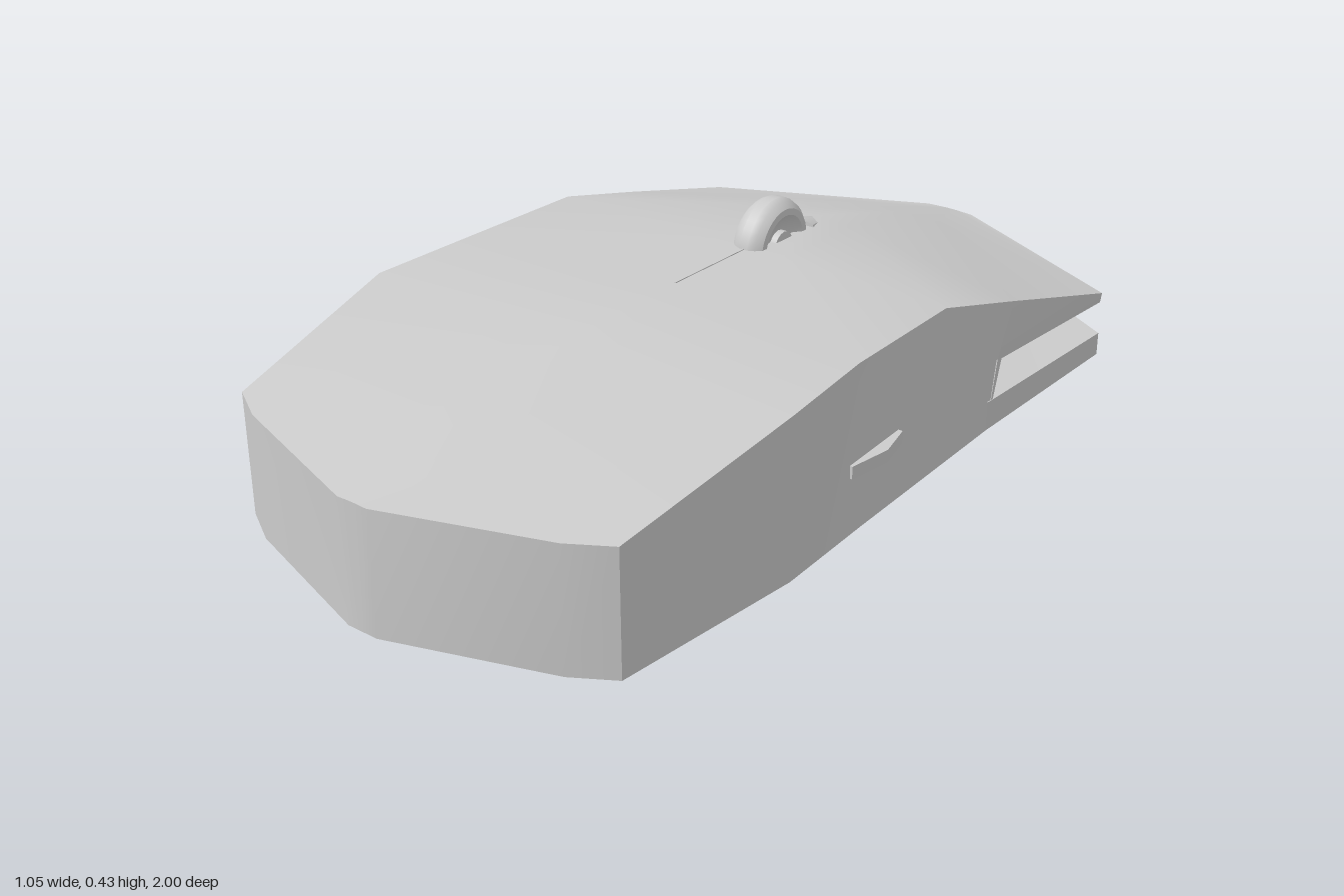
import * as THREE from 'three';
import { toCreasedNormals } from 'three/addons/utils/BufferGeometryUtils.js';

const material = new THREE.MeshStandardMaterial({ color: 0xcccccc, side: THREE.DoubleSide });

function addMesh(parent, geometry, name) {
  const mesh = new THREE.Mesh(geometry, material);
  mesh.name = name;
  parent.add(mesh);
  return mesh;
}

// Half cross-section, from bottom centre out to the side and back to top centre.
// The lower points may sit at other z values, to shape the V-shaped gap.
function section(z, half, edgeY, midY, centreY, lowHalf, lowEdgeY, lowCentreY, lowEdgeZ = z, lowCentreZ = z) {
  return [
    [0, lowCentreY, lowCentreZ],
    [lowHalf, lowEdgeY, lowEdgeZ],
    [half, edgeY, z],
    [half * 0.2, midY, z],
    [0, centreY, z],
  ];
}

// Skins sections (z ascending), mirrors them across x = 0 and caps the chosen ends.
function loft(rings, capBack, capFront) {
  const positions = [];
  const tri = (a, b, c) => {
    positions.push(...a, ...b, ...c);
    for (const p of [a, c, b]) positions.push(-p[0], p[1], p[2]);
  };
  for (let i = 0; i < rings.length - 1; i++) {
    for (let j = 0; j < 4; j++) {
      const a = rings[i][j], b = rings[i][j + 1];
      const c = rings[i + 1][j + 1], d = rings[i + 1][j];
      tri(a, b, d);
      tri(b, c, d);
    }
  }
  const first = rings[0], last = rings[rings.length - 1];
  for (let j = 1; j < 4; j++) {
    if (capBack) tri(first[0], first[j + 1], first[j]);
    if (capFront) tri(last[0], last[j], last[j + 1]);
  }
  const geometry = new THREE.BufferGeometry();
  geometry.setAttribute('position', new THREE.Float32BufferAttribute(positions, 3));
  return toCreasedNormals(geometry, 0.38);
}

export function createModel() {
  const model = new THREE.Group();
  model.name = 'computerMouse';

  // Upper shell: thin button deck at the back, full-height body in front
  addMesh(model, loft([
    section(-0.99, 0.06, 0.155, 0.157, 0.157, 0.06, 0.132, 0.132),
    section(-0.76, 0.525, 0.16, 0.224, 0.226, 0.522, 0.137, 0.14),
    section(-0.39, 0.502, 0.272, 0.338, 0.337, 0.505, 0.16, 0.148, -0.33, -0.55),
    section(-0.14, 0.485, 0.345, 0.349, 0.346, 0.505, 0.01, 0.005, -0.3, -0.55),
    section(0.18, 0.49, 0.355, 0.357, 0.357, 0.505, 0.01, 0),
    section(0.42, 0.508, 0.354, 0.356, 0.356, 0.508, 0.01, 0.003),
    section(0.84, 0.455, 0.275, 0.296, 0.298, 0.455, 0.01, 0.007),
    section(0.89, 0.37, 0.275, 0.288, 0.29, 0.37, 0.01, 0.008),
    section(1, 0.035, 0.273, 0.274, 0.274, 0.035, 0.01, 0.01),
  ], true, true), 'upperShell');

  // Base plate below the gap
  addMesh(model, loft([
    section(-1, 0.06, 0.08, 0.08, 0.08, 0.06, 0.01, 0.01),
    section(-0.76, 0.525, 0.062, 0.088, 0.09, 0.525, 0.01, 0.008),
    [[0, 0.005, -0.55], [0.505, 0.01, -0.3], [0.505, 0.075, -0.3], [0.1, 0.092, -0.5], [0, 0.096, -0.55]],
  ], true, false), 'basePlate');

  // Scroll wheel with rounded tread and recessed hub
  const wheel = new THREE.Group();
  wheel.name = 'scrollWheel';
  wheel.position.set(0, 0.33, -0.23);
  wheel.rotation.z = Math.PI / 2;
  model.add(wheel);
  const halfProfile = [[0.03, 0.02], [0.05, 0.024], [0.068, 0.038], [0.082, 0.037], [0.094, 0.025], [0.1, 0.01]];
  const profile = [
    ...halfProfile.map(([r, h]) => new THREE.Vector2(r, -h)),
    ...halfProfile.reverse().map(([r, h]) => new THREE.Vector2(r, h)),
  ];
  addMesh(wheel, toCreasedNormals(new THREE.LatheGeometry(profile, 32).toNonIndexed(), 0.6), 'wheelTread');
  addMesh(wheel, new THREE.CylinderGeometry(0.032, 0.032, 0.07, 16), 'wheelHub');

  // Tapered wheel housing behind the wheel
  addMesh(model, loft([
    section(-0.46, 0.002, 0.315, 0.316, 0.316, 0.002, 0.3, 0.3),
    section(-0.33, 0.042, 0.346, 0.352, 0.354, 0.045, 0.3, 0.3),
  ], true, true), 'wheelHousing');

  // Fine centre seam in front of the wheel
  const seam = addMesh(model, new THREE.BoxGeometry(0.004, 0.006, 0.24), 'centreSeam');
  seam.position.set(0, 0.349, -0.02);
  seam.rotation.x = -0.035;

  // Faceted thumb buttons on both sides
  const outline = new THREE.Shape([
    [0.48, -0.215], [0.505, -0.215], [0.523, -0.12], [0.506, -0.04], [0.48, -0.04],
  ].map(([x, y]) => new THREE.Vector2(x, y)));
  for (const side of [1, -1]) {
    const geometry = new THREE.ExtrudeGeometry(outline, { depth: 0.027, bevelEnabled: false });
    geometry.rotateX(-Math.PI / 2);
    if (side < 0) geometry.rotateZ(Math.PI).translate(0, 0.027, 0);
    addMesh(model, geometry, side > 0 ? 'leftSideButton' : 'rightSideButton').position.y = 0.13;
  }
  return model;
}
